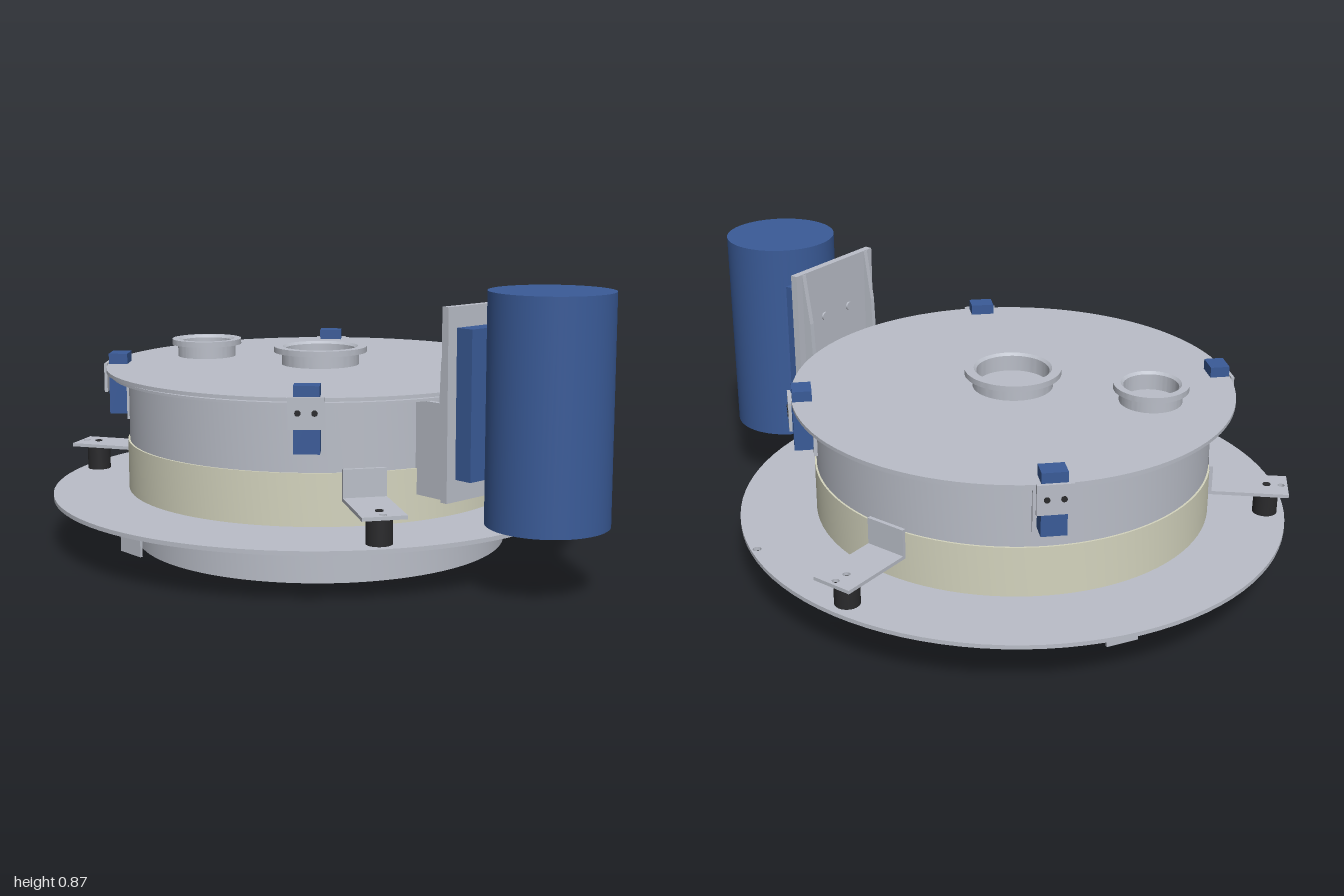
import * as THREE from 'three';
import { toCreasedNormals } from 'three/addons/utils/BufferGeometryUtils.js';

const material = (name, color) => {
  const m = new THREE.MeshStandardMaterial({ color });
  m.name = name;
  return m;
};

export function createModel() {
  const steel = material('steel grey', 0xbabec8);
  const cream = material('cream band', 0xd4d4be);
  const blue = material('motor blue', 0x3a5b98);
  const rubber = material('rubber black', 0x2a2a2c);
  const red = material('filter red', 0x8a1c1e);

  const model = new THREE.Group();
  model.name = 'drumSieve';
  // everything round shares the drum axis
  const drum = new THREE.Group();
  drum.name = 'drum';
  drum.position.x = -0.14;
  model.add(drum);

  const add = (parent, name, geo, mat, x = 0, y = 0, z = 0) => {
    const mesh = new THREE.Mesh(geo, mat);
    mesh.name = name;
    mesh.position.set(x, y, z);
    parent.add(mesh);
    return mesh;
  };
  // box given by its bottom height
  const box = (parent, name, mat, w, h, d, x, y, z) =>
    add(parent, name, new THREE.BoxGeometry(w, h, d), mat, x, y + h / 2, z);
  const cylinder = (parent, name, mat, r, h, x, y, z, seg = 32) =>
    add(parent, name, new THREE.CylinderGeometry(r, r, h, seg), mat, x, y + h / 2, z);
  // closed profile spun round the y axis, with sharp edges kept
  const lathe = (parent, name, mat, pts, x = 0, z = 0) => {
    const profile = [...pts, pts[0]].map(([r, y]) => new THREE.Vector2(r, y));
    const geo = toCreasedNormals(new THREE.LatheGeometry(profile, 96), 0.5);
    return add(parent, name, geo, mat, x, 0, z);
  };
  const ring = (parent, name, mat, ri, ro, y0, y1, x, z) =>
    lathe(parent, name, mat, [[ri, y0], [ro, y0], [ro, y1], [ri, y1]], x, z);
  const punch = (shape, x, y, r) => {
    const hole = new THREE.Path();
    hole.absarc(x, y, r, 0, Math.PI * 2, true);
    shape.holes.push(hole);
  };
  // flat plate in x/z: shape y becomes -z, thickness rises from y
  const plate = (parent, name, mat, shape, y, thick) => {
    const geo = new THREE.ExtrudeGeometry(shape, { depth: thick, bevelEnabled: false, curveSegments: 48 });
    geo.rotateX(-Math.PI / 2);
    return add(parent, name, toCreasedNormals(geo, 0.5), mat, 0, y, 0);
  };
  // group whose local +z points outward at the given angle
  const spoke = (name, degrees) => {
    const g = new THREE.Group();
    g.name = name;
    g.rotation.y = THREE.MathUtils.degToRad(degrees);
    drum.add(g);
    return g;
  };

  // base collar and wide flange
  ring(drum, 'baseCollar', steel, 0.585, 0.597, 0, 0.158);
  const flange = new THREE.Shape();
  flange.absarc(0, 0, 0.861, 0, Math.PI * 2, false);
  punch(flange, 0, 0, 0.59);
  punch(flange, 0.42, 0.73, 0.013);
  plate(drum, 'baseFlange', steel, flange, 0.155, 0.013);

  // drum walls and lid
  ring(drum, 'lowerBand', cream, 0.6, 0.621, 0.175, 0.333);
  ring(drum, 'upperWall', steel, 0.6, 0.615, 0.333, 0.54);
  ring(drum, 'rimFlange', steel, 0.6, 0.668, 0.537, 0.545);
  cylinder(drum, 'lid', steel, 0.685, 0.011, 0, 0.551, 0, 96);
  ring(drum, 'lidSeal', steel, 0.6, 0.64, 0.545, 0.551);

  // ports on the lid
  const port = (name, x, z, r, neck) => lathe(drum, name, steel, [
    [neck - 0.012, 0.558], [neck, 0.558], [neck, 0.602], [r, 0.602],
    [r, 0.62], [neck - 0.004, 0.62], [neck - 0.012, 0.612],
  ], x, z);
  port('centrePort', 0, 0, 0.15, 0.125);
  port('sidePort', -0.405, 0.15, 0.115, 0.096);

  // square screen and its carrying bars inside
  box(drum, 'screen', red, 0.8, 0.02, 0.8, 0, 0.3, 0);
  for (const s of [-1, 1])
    box(drum, 'screenBar', steel, 1.1, 0.02, 0.055, 0, 0.275, s * 0.25);

  // supporting arms on rubber feet
  for (const a of [180, 60, -60]) {
    const arm = spoke('supportArm', a);
    const shape = new THREE.Shape([
      new THREE.Vector2(-0.065, -0.865), new THREE.Vector2(0.065, -0.865),
      new THREE.Vector2(0.065, -0.612), new THREE.Vector2(-0.065, -0.612),
    ]);
    punch(shape, 0, -0.845, 0.011);
    if (a === 180) punch(shape, 0, -0.8, 0.011);
    plate(arm, 'armPlate', steel, shape, 0.25, 0.011);
    box(arm, 'armTab', steel, 0.13, 0.095, 0.012, 0, 0.25, 0.622);
    cylinder(arm, 'rubberFoot', rubber, 0.038, 0.082, 0, 0.168, 0.8);
    if (a !== 180) cylinder(arm, 'footBolt', rubber, 0.012, 0.004, 0, 0.26, 0.8, 12);
  }

  // locating tabs below the flange
  for (const a of [0, 120, -120])
    box(spoke('locatingTab', a), 'tabPlate', steel, 0.1, 0.092, 0.008, 0, 0.065, 0.75);

  // lid latches
  for (const a of [45, 135, -135, -45]) {
    const latch = spoke('latch', a);
    box(latch, 'latchBacking', steel, 0.1, 0.165, 0.012, 0, 0.383, 0.618);
    box(latch, 'latchBody', blue, 0.075, 0.195, 0.06, 0, 0.4, 0.652);
    box(latch, 'latchPlate', steel, 0.105, 0.092, 0.01, 0, 0.473, 0.69);
    for (const s of [-1, 1]) {
      const bolt = cylinder(latch, 'latchBolt', rubber, 0.009, 0.004, s * 0.024, 0, 0, 12);
      bolt.position.set(s * 0.024, 0.52, 0.696);
      bolt.rotation.x = Math.PI / 2;
    }
  }

  // motor with its mounting bracket
  const drive = new THREE.Group();
  drive.name = 'drive';
  model.add(drive);
  cylinder(drive, 'motor', blue, 0.178, 0.66, 0.82, 0.205, 0, 64);
  box(drive, 'motorFoot', blue, 0.06, 0.435, 0.3, 0.632, 0.32, 0);
  box(drive, 'mountPlate', steel, 0.024, 0.56, 0.37, 0.592, 0.255, 0);
  const gusset = new THREE.Shape([
    [0.455, 0.255], [0.585, 0.255], [0.585, 0.812], [0.578, 0.812],
    [0.553, 0.65], [0.548, 0.535], [0.455, 0.535],
  ].map(([x, y]) => new THREE.Vector2(x, y)));
  for (const s of [-1, 1]) {
    const geo = new THREE.ExtrudeGeometry(gusset, { depth: 0.016, bevelEnabled: false });
    add(drive, 'mountGusset', geo, steel, 0, 0, s * 0.152 - 0.008);
    const bolt = cylinder(drive, 'mountBolt', steel, 0.014, 0.008, 0, 0, 0, 16);
    bolt.position.set(0.578, 0.645, s * 0.06);
    bolt.rotation.z = Math.PI / 2;
  }

  return model;
}
